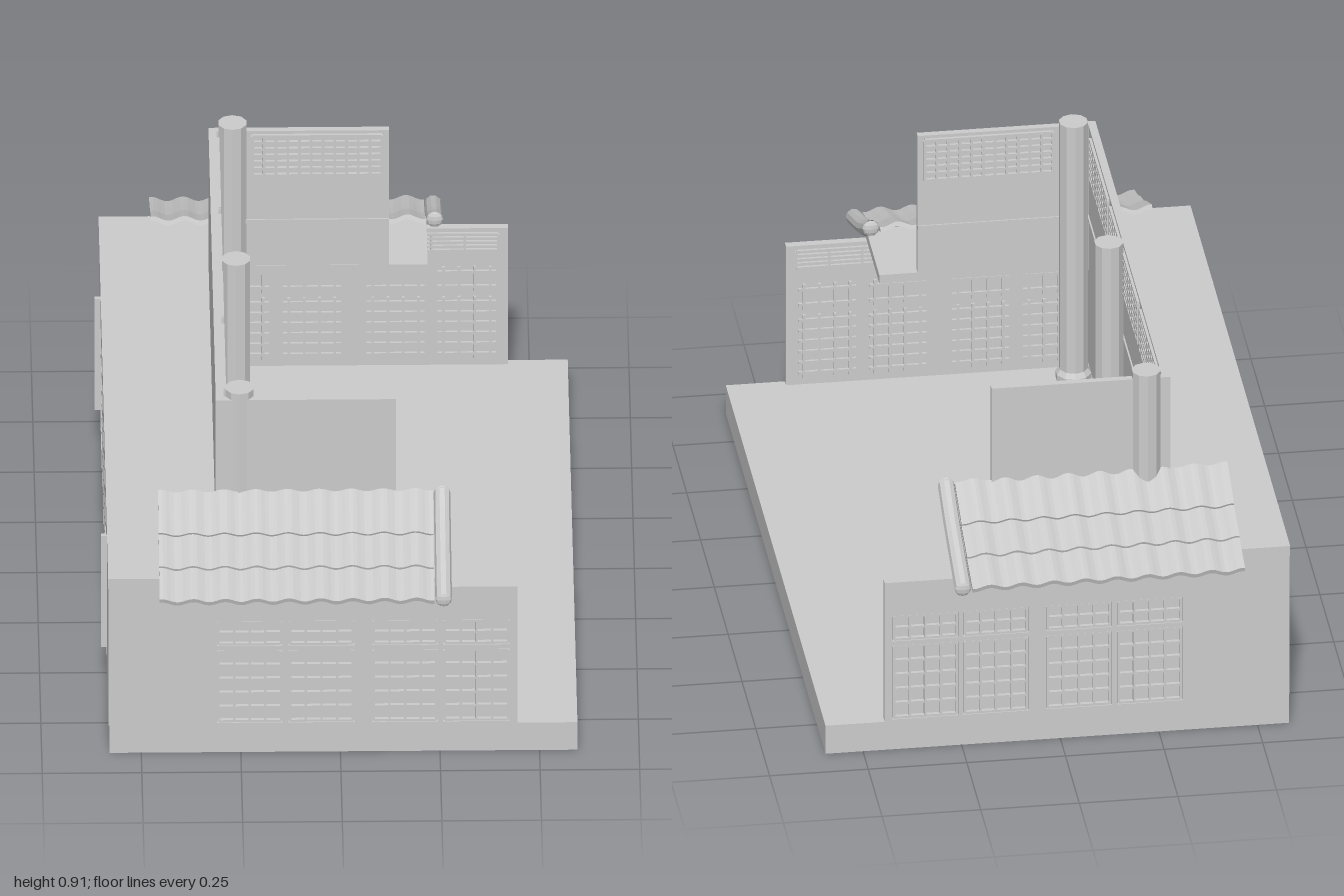
import * as THREE from 'three';

const mat = new THREE.MeshStandardMaterial({ color: 0xcccccc, flatShading: true, side: THREE.DoubleSide });

function add(parent, geo, name) {
  const m = new THREE.Mesh(geo, mat);
  m.name = name;
  parent.add(m);
  return m;
}

// box from its min and max corners
function box(parent, name, x0, x1, y0, y1, z0, z1) {
  const m = add(parent, new THREE.BoxGeometry(x1 - x0, y1 - y0, z1 - z0), name);
  m.position.set((x0 + x1) / 2, (y0 + y1) / 2, (z0 + z1) / 2);
  return m;
}

// grid of thin bars filling a rectangle; over = how far bars run past the outer lines
function lattice(parent, name, [x0, x1, y0, y1], cols, rows, z0, z1, t, over = 0) {
  const g = new THREE.Group();
  g.name = name;
  for (let i = 0; i <= cols; i++) {
    const x = x0 + ((x1 - x0) * i) / cols;
    box(g, 'verticalBar', x - t / 2, x + t / 2, y0 - over, y1 + over, z0, z1);
  }
  for (let j = 0; j <= rows; j++) {
    const y = y0 + ((y1 - y0) * j) / rows;
    box(g, 'horizontalBar', x0 - over, x1 + over, y - t / 2, y + t / 2, z0, z1);
  }
  parent.add(g);
}

function rect(ShapeType, x0, x1, y0, y1) {
  const s = new ShapeType();
  s.moveTo(x0, y0);
  s.lineTo(x1, y0);
  s.lineTo(x1, y1);
  s.lineTo(x0, y1);
  s.closePath();
  return s;
}

// outer wall, local x along it, outside face at z = 0 looking to +z
function windowWall(name, x0, x1, top, windows, transoms) {
  const g = new THREE.Group();
  g.name = name;
  const shape = rect(THREE.Shape, x0, x1, 0.08, top);
  for (const [a, b] of windows) {
    for (const [y0, y1, rows] of [[0.085, 0.295, 5], [0.308, 0.38, 2]]) {
      shape.holes.push(rect(THREE.Path, a, b, y0, y1));
      lattice(g, 'windowBars', [a + 0.004, b - 0.004, y0 + 0.004, y1 - 0.004], 4, rows, -0.011, -0.001, 0.006);
    }
    // bare lattice on the inside face
    const i = a + 0.025, j = b - 0.025;
    lattice(g, 'innerLattice', [i, j, 0.115, 0.265], 3, 5, -0.028, -0.02, 0.007, 0.015);
    lattice(g, 'innerUpperLattice', [i, j, 0.31, 0.352], 3, 1, -0.028, -0.02, 0.007, 0.015);
  }
  const sheet = add(g, new THREE.ExtrudeGeometry(shape, { depth: 0.012, bevelEnabled: false }), 'wallFace');
  sheet.position.z = -0.012;
  box(g, 'wallBacking', x0, x1, 0.08, top, -0.021, -0.012);
  for (const [a, b] of transoms)
    lattice(g, 'innerTransom', [a, b, 0.415, 0.462], 4, 4, -0.028, -0.02, 0.006);
  return g;
}

// turned column with stepped base and collar
function column(z) {
  const g = new THREE.Group();
  g.name = 'column';
  const profile = [[0, 0.08], [0.062, 0.08], [0.062, 0.092], [0.05, 0.097], [0.05, 0.108], [0.037, 0.125],
    [0.037, 0.165], [0.046, 0.178], [0.046, 0.195], [0.037, 0.208], [0.037, 0.91], [0, 0.91]];
  add(g, new THREE.LatheGeometry(profile.map(p => new THREE.Vector2(...p)), 10), 'columnShaft');
  g.position.set(-0.25, 0, z);
  return g;
}

// three overlapping courses of wavy tiles and a round verge at the front end
function tileRoof(s) {
  const g = new THREE.Group();
  g.name = 'tileRoof';
  const line = [[0.685, 0.622], [0.79, 0.568], [0.89, 0.528], [0.99, 0.49]];
  for (let i = 0; i < 3; i++) {
    const [z0, y0] = line[i], [z1, y1] = line[i + 1];
    const len = Math.hypot(z1 - z0, y1 - y0) + 0.016;
    const geo = new THREE.BoxGeometry(0.69, 0.012, len, 72, 1, 1);
    const p = geo.attributes.position;
    for (let k = 0; k < p.count; k++)
      p.setY(k, p.getY(k) + 0.006 * Math.cos((2 * Math.PI * (p.getX(k) + 0.02)) / 0.08));
    geo.computeVertexNormals();
    const m = add(g, geo, 'tileCourse');
    m.position.set(-0.11, (y0 + y1) / 2 + 0.003, s * (z0 + z1) / 2);
    m.rotation.x = s * (Math.atan2(y0 - y1, z1 - z0) - 0.06);
  }
  const path = new THREE.CatmullRomCurve3(line.map(([z, y]) => new THREE.Vector3(0.258, y, s * (z - 0.005))));
  add(g, new THREE.TubeGeometry(path, 6, 0.021, 10), 'vergeTube');
  for (const [end, y] of [[line[0], 0], [line[3], 0]]) {
    const cap = add(g, new THREE.SphereGeometry(0.021, 10, 6), 'vergeEnd');
    cap.scale.z = 0.4;
    cap.position.set(0.258, end[1] + y, s * (end[0] - 0.005));
  }
  return g;
}

export function createModel() {
  const model = new THREE.Group();
  model.name = 'courtyardBuilding';
  box(model, 'floorBase', -0.58, 0.595, 0, 0.08, -0.905, 0.9);

  // outer walls
  const sideWin = [[-0.31, -0.145], [-0.13, 0.035], [0.08, 0.245], [0.258, 0.425]];
  const sideTrans = [[-0.3, 0.03], [0.085, 0.42]];
  const flip = list => list.map(([a, b]) => [-b, -a]);
  const left = windowWall('sideWall', -0.58, 0.445, 0.476, sideWin, sideTrans);
  left.position.z = 0.9;
  const right = windowWall('sideWall', -0.445, 0.58, 0.476, flip(sideWin), flip(sideTrans));
  right.rotation.y = Math.PI;
  right.position.z = -0.905;
  const backWin = [], backTrans = [];
  for (const c of [-0.39, 0, 0.39]) {
    backWin.push([c - 0.18, c - 0.008], [c + 0.008, c + 0.18]);
    backTrans.push([c - 0.18, c + 0.18]);
  }
  const back = windowWall('backWall', -0.9, 0.9, 0.476, backWin, backTrans);
  back.rotation.y = -Math.PI / 2;
  back.position.x = -0.582;
  model.add(left, right, back);

  // upright strips on the outside
  box(model, 'wallStrip', -0.35, -0.334, 0.13, 0.452, 0.9, 0.915);
  for (const z of [-0.592, 0.588])
    box(model, 'wallStrip', -0.597, -0.58, 0.13, 0.452, z - 0.007, z + 0.007);

  // flat roof around the court
  box(model, 'backFlatRoof', -0.583, -0.3, 0.476, 0.505, -0.905, 0.9);
  for (const s of [1, -1]) {
    const wz = s > 0 ? 0.664 : -0.675;
    const [a, b] = s > 0 ? [0.655, 0.9] : [-0.905, -0.665];
    box(model, 'sideFlatRoof', -0.3, 0.24, 0.476, 0.5, a, b);
    // corner closets
    const [c, d] = s > 0 ? [0.57, 0.88] : [-0.88, -0.57];
    box(model, 'cornerCloset', -0.57, -0.312, 0.08, 0.476, c, d);
    box(model, 'closetPlinth', -0.57, -0.305, 0.08, 0.12, c - (s > 0 ? 0.007 : 0), d + (s > 0 ? 0 : 0.007));
    // upper side wall with its lattice band on the court side
    box(model, 'upperSideWall', -0.31, 0.143, 0.48, 0.89, wz - 0.009, wz + 0.009);
    const z = wz - s * 0.012;
    lattice(model, 'upperSideLattice', [-0.2, 0.125, 0.765, 0.878], 11, 6, z - 0.005, z + 0.005, 0.007);
    box(model, 'upperSideRail', -0.25, 0.143, 0.625, 0.635, z - 0.002, z + 0.002);
    model.add(tileRoof(s));
  }

  // upper back wall with three lattice bands
  box(model, 'upperBackWall', -0.31, -0.29, 0.48, 0.89, -0.68, 0.664);
  const bands = new THREE.Group();
  bands.name = 'upperBackLattice';
  for (const [a, b] of [[-0.6, -0.275], [-0.24, 0.27], [0.305, 0.65]])
    lattice(bands, 'latticeBand', [a, b, 0.765, 0.878], Math.round((b - a) / 0.033), 6, 0, 0.008, 0.007);
  bands.rotation.y = Math.PI / 2;
  bands.position.x = -0.291;
  model.add(bands);
  box(model, 'upperBackRail', -0.292, -0.286, 0.625, 0.635, -0.67, 0.655);

  for (const z of [-0.675, 0.002, 0.642]) model.add(column(z));
  return model;
}
